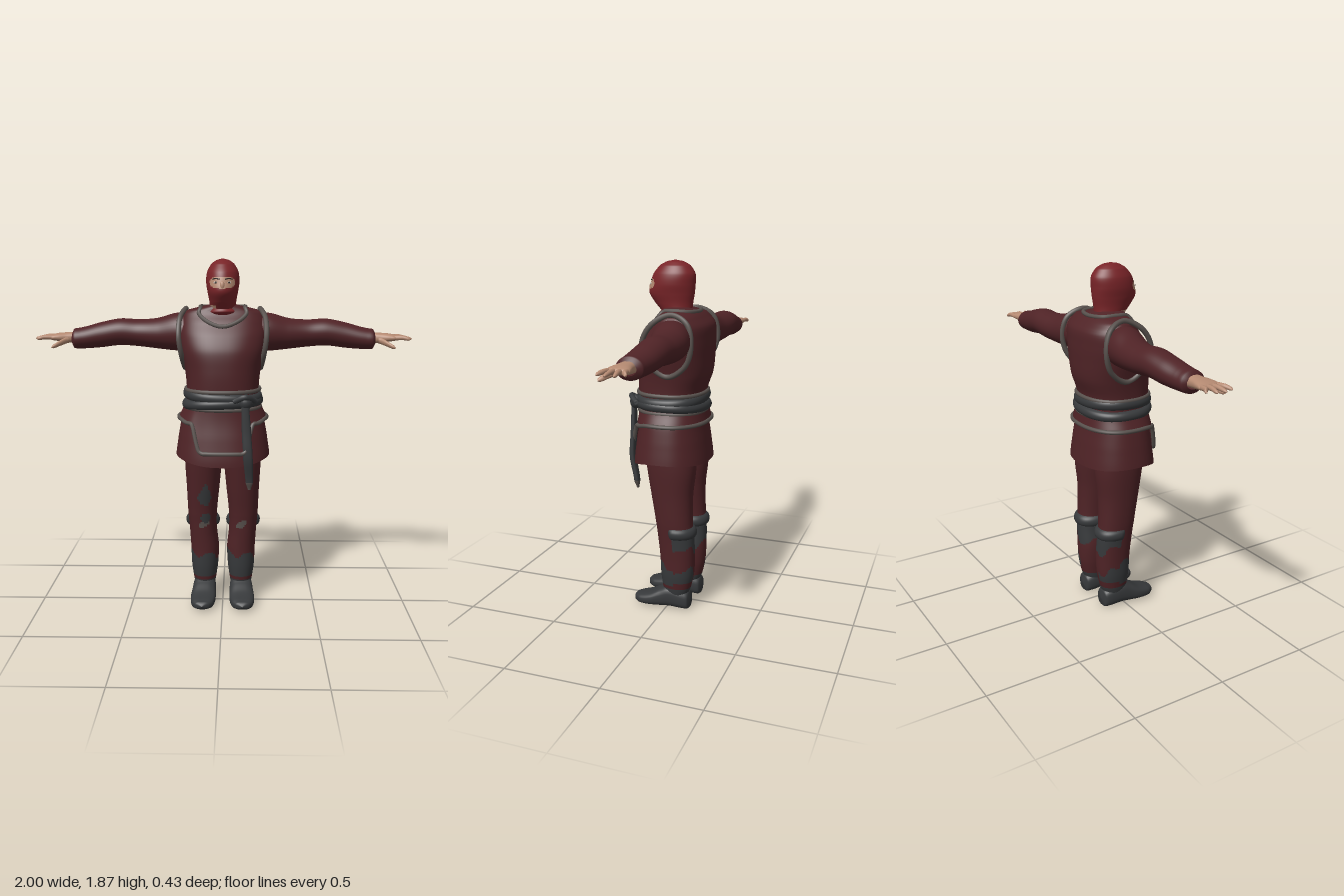
import * as THREE from 'three';

const mat = (name, color) => {
  const m = new THREE.MeshStandardMaterial({ color, side: THREE.DoubleSide });
  m.name = name;
  return m;
};
const V = (x, y, z) => new THREE.Vector3(x, y, z);
const { smoothstep } = THREE.MathUtils;

// Rings are [height, centreX, centreZ, radiusX, radiusZ], ascending in height.
// Returns the smooth cross-section at a height.
function ringAt(rings, y) {
  const last = rings.length - 1;
  let i = 0;
  while (i < last - 1 && y > rings[i + 1][0]) i++;
  const p1 = rings[i], p2 = rings[i + 1];
  const p0 = rings[Math.max(i - 1, 0)], p3 = rings[Math.min(i + 2, last)];
  const t = THREE.MathUtils.clamp((y - p1[0]) / (p2[0] - p1[0]), 0, 1);
  return p1.map((b, k) => {
    const a = p0[k], c = p2[k], d = p3[k];
    return b + 0.5 * t * (c - a + t * (2 * a - 5 * b + 4 * c - d + t * (3 * (b - c) + d - a)));
  });
}
// Point on the loft; angle 0 faces +z and grows towards +x.
function on(rings, y, angle, offset = 0, n = 2) {
  const [, cx, cz, rx, rz] = ringAt(rings, y);
  const pow = (v) => Math.sign(v) * Math.abs(v) ** (2 / n);
  return V(cx + (Math.max(rx, 0) + offset) * pow(Math.sin(angle)), y,
    cz + (Math.max(rz, 0) + offset) * pow(Math.cos(angle)));
}
// Closed tube-like grid from f(angle, v); pick(point) chooses a material index per cell.
function surface(f, nu, nv, pick) {
  const pts = [], cells = [[], [], []];
  for (let j = 0; j <= nv; j++)
    for (let i = 0; i < nu; i++) pts.push(f((i / nu) * Math.PI * 2, j / nv));
  for (let j = 0; j < nv; j++)
    for (let i = 0; i < nu; i++) {
      const a = j * nu + i, b = j * nu + ((i + 1) % nu), c = b + nu, d = a + nu;
      const mid = pts[a].clone().add(pts[c]).multiplyScalar(0.5);
      cells[pick ? pick(mid) : 0].push(a, b, c, a, c, d);
    }
  const g = new THREE.BufferGeometry().setFromPoints(pts);
  g.setIndex(cells.flat());
  let start = 0;
  if (pick) cells.forEach((c, k) => { if (c.length) g.addGroup(start, c.length, k); start += c.length; });
  g.computeVertexNormals();
  return g;
}
function loft(rings, nu = 32, nv = 32, n = 2, pick) {
  const y0 = rings[0][0], y1 = rings[rings.length - 1][0];
  return surface((a, v) => on(rings, y0 + (y1 - y0) * v, a, 0, n), nu, nv, pick);
}
function tube(points, r, closed = true, seg = 96) {
  return new THREE.TubeGeometry(new THREE.CatmullRomCurve3(points, closed), seg, r, 8, closed);
}
const loop = (count, f) => Array.from({ length: count }, (_, i) => f((i / count) * Math.PI * 2));

const TORSO = [
  [1.06, 0, 0, 0.195, 0.17], [1.2, 0, 0.005, 0.19, 0.172], [1.3, 0, -0.01, 0.2, 0.188],
  [1.4, 0, -0.018, 0.222, 0.187], [1.48, 0, -0.035, 0.232, 0.17], [1.55, 0, -0.055, 0.226, 0.142],
  [1.6, 0, -0.05, 0.2, 0.1], [1.62, 0, -0.035, 0.12, 0.085], [1.635, 0, -0.02, 0.06, 0.06]];
const SKIRT = [
  [0.82, 0, 0, 0.252, 0.2], [0.95, 0, 0, 0.235, 0.185], [1.04, 0, 0, 0.218, 0.172],
  [1.12, 0, 0, 0.194, 0.168]];
const HEAD = [
  [1.56, 0, -0.03, 0.075, 0.075], [1.61, 0, -0.015, 0.068, 0.082], [1.65, 0, 0.002, 0.07, 0.1],
  [1.7, 0, 0.014, 0.079, 0.12], [1.75, 0, 0.008, 0.086, 0.118], [1.8, 0, 0, 0.081, 0.109],
  [1.84, 0, -0.004, 0.06, 0.08], [1.86, 0, -0.005, 0.032, 0.044], [1.868, 0, -0.005, 0, 0]];
const legRings = (s) => [
  [0.05, 0.1, -0.05, 0.05, 0.055], [0.12, 0.1, -0.052, 0.062, 0.076], [0.2, 0.1, -0.055, 0.073, 0.09],
  [0.3, 0.1, -0.055, 0.077, 0.095], [0.4, 0.108, -0.05, 0.075, 0.098], [0.5, 0.112, -0.04, 0.079, 0.1],
  [0.65, 0.108, -0.027, 0.089, 0.112], [0.8, 0.105, -0.022, 0.1, 0.132], [0.98, 0.1, -0.01, 0.105, 0.14],
].map(([y, x, ...r]) => [y, s * x, ...r]);

export function createModel() {
  const root = new THREE.Group();
  root.name = 'maskedFighter';
  const cloth = mat('maroonCloth', 0x4f2326), hood = mat('redHood', 0x792428);
  const dark = mat('charcoalWrap', 0x37393b), trim = mat('greyTrim', 0x58514d);
  const skin = mat('skin', 0xb58a72), white = mat('eyeWhite', 0xc9c2b8), iris = mat('iris', 0x2c2420);
  const add = (name, geo, material) => {
    const m = new THREE.Mesh(geo, material);
    m.name = name;
    root.add(m);
    return m;
  };

  // Tunic with neck trim
  add('tunic', loft(TORSO, 64, 48, 2.4), cloth);
  const neck = [[0, 1.525], [0.28, 1.55], [0.55, 1.59], [0.95, 1.616], [1.6, 1.621], [2.4, 1.617]];
  const neckPath = [...neck, [Math.PI, 1.613], ...neck.slice(1).reverse().map(([a, y]) => [-a, y])];
  add('neckTrim', tube(neckPath.map(([a, y]) => on(TORSO, y, a, 0.002, 2.4)), 0.011), trim);

  // Lower skirt, dipping at the front and slightly at the back
  add('skirt', surface((a, v) => {
    const c = Math.cos(a), dip = (c > 0 ? 0.04 : 0.015) * c * c;
    const hem = 0.845 - dip;
    const p = on(SKIRT, Math.max(hem + (1.12 - hem) * v, 0.82), a, 0, 2.3);
    p.y = hem + (1.12 - hem) * v;
    return p;
  }, 64, 16), cloth);

  // Overskirt with a front flap and trimmed hem
  const hemAt = (a) => {
    const x = 0.235 * Math.sin(a);
    if (Math.cos(a) < 0) return 1.045;
    const flap = smoothstep(x, -0.155, -0.085) * (1 - smoothstep(x, 0.085, 0.155));
    return 1.03 - 0.15 * flap + 0.015 * smoothstep(Math.abs(x), 0.17, 0.235);
  };
  add('overskirt', surface((a, v) =>
    on(SKIRT, hemAt(a) + (1.12 - hemAt(a)) * v, a, 0.006 + 0.01 * (1 - v), 2.3), 128, 12), cloth);
  add('overskirtTrim', tube(loop(90, (a) => on(SKIRT, hemAt(a), a, 0.016, 2.3)), 0.011, true, 220), trim);

  // Belt: two crossing wraps with edging
  const wrap = (name, mid, h, out, material) => add(name, surface((a, v) =>
    on(TORSO, mid + 0.012 * Math.sin(a + 0.4) * Math.sign(out - 0.02) + h * (v - 0.5), a,
      out * Math.sqrt(Math.max(Math.sin(Math.PI * v), 0)), 2.3), 64, 10), material);
  wrap('beltUpperWrap', 1.165, 0.055, 0.019, dark);
  wrap('beltLowerWrap', 1.127, 0.055, 0.023, dark);
  for (const [name, y] of [['beltTopEdge', 1.195], ['beltBottomEdge', 1.103]])
    add(name, tube(loop(32, (a) => on(TORSO, y, a, 0.004, 2.3)), 0.011), trim);

  // Knot and hanging sash
  const ball = (name, p, r, sc, material) => {
    const m = add(name, new THREE.SphereGeometry(r, 20, 14).scale(...sc), material);
    m.position.copy(p);
    return m;
  };
  ball('beltKnot', V(0.12, 1.145, 0.17), 0.04, [0.9, 0.95, 0.8], dark);
  add('knotLoop', tube([V(0.06, 1.15, 0.18), V(0.12, 1.175, 0.195), V(0.17, 1.15, 0.15)], 0.015, false, 24), dark);
  const sash = (name, y0, y1, material) => add(name, loft([
    [0.68, 0.142, 0.156, 0.008, 0.006], [0.72, 0.142, 0.16, 0.02, 0.014], [0.85, 0.134, 0.185, 0.025, 0.015],
    [1, 0.125, 0.182, 0.024, 0.014], [1.14, 0.118, 0.182, 0.02, 0.012],
  ].filter((r) => r[0] >= y0 && r[0] <= y1), 20, 24, 2.8), material);
  sash('hangingSash', 0.72, 1.14, dark);
  sash('sashTip', 0.68, 0.72, trim);

  // Hood with eye opening
  add('hood', loft(HEAD, 96, 90, 2, (p) => {
    const eyeGap = p.z > 0 && ((p.x / 0.064) ** 2) ** 1.5 + (Math.abs(p.y - 1.748) / 0.029) ** 3 < 1;
    const throat = p.z > 0 && p.x < -0.035 && p.y > 1.605 && p.y < 1.632;
    return eyeGap || throat ? 1 : 0;
  }), [hood, skin]);
  add('hoodCollar', loft([[1.58, 0, -0.025, 0.085, 0.085], [1.6, 0, -0.018, 0.086, 0.096],
    [1.615, 0, -0.015, 0.07, 0.084]], 40, 8), hood);
  ball('noseBridge', V(0, 1.732, 0.124), 0.016, [0.8, 1.5, 0.8], skin);

  for (const s of [1, -1]) {
    const side = s > 0 ? 'left' : 'right';

    // Eyes and brows
    ball(side + 'Eye', on(HEAD, 1.748, s * 0.4, -0.004), 0.011, [1.2, 0.6, 0.7], white);
    ball(side + 'Iris', on(HEAD, 1.748, s * 0.39, 0.002), 0.005, [1, 1, 0.6], iris);
    add(side + 'Brow', tube([0.15, 0.4, 0.62].map((a, i) =>
      on(HEAD, 1.764 + (i === 1 ? 0.004 : 0), s * a, 0)), 0.003, false, 12), iris);

    // Armhole trim
    add(side + 'ArmholeTrim', tube([[0.195, 1.61, -0.05], [0.222, 1.565, 0.04], [0.226, 1.47, 0.092],
      [0.212, 1.37, 0.07], [0.2, 1.3, -0.03], [0.212, 1.36, -0.13], [0.222, 1.46, -0.165],
      [0.212, 1.57, -0.14]].map(([x, y, z]) => V(s * x, y, z)), 0.014), trim);

    // Limbs along x: rings are [x, y, z, radiusY, radiusZ]
    const along = (name, rings, material, nu, nv, n) => add(name,
      loft(rings.map(([x, y, ...r]) => [x, -s * y, ...r]), nu, nv, n).rotateZ(-s * Math.PI / 2), material);
    along(side + 'Sleeve', [[0.14, 1.485, -0.05, 0.095, 0.1], [0.24, 1.487, -0.065, 0.1, 0.102],
      [0.35, 1.477, -0.085, 0.081, 0.092], [0.45, 1.478, -0.1, 0.072, 0.083], [0.55, 1.483, -0.1, 0.071, 0.08],
      [0.65, 1.468, -0.095, 0.067, 0.075], [0.75, 1.452, -0.083, 0.057, 0.068], [0.795, 1.449, -0.08, 0.052, 0.064],
      [0.806, 1.449, -0.08, 0.03, 0.04]], cloth, 40, 60);
    along(side + 'Palm', [[0.77, 1.455, -0.078, 0.03, 0.036], [0.83, 1.455, -0.075, 0.027, 0.042],
      [0.88, 1.457, -0.074, 0.021, 0.053], [0.915, 1.456, -0.075, 0.014, 0.051],
      [0.925, 1.456, -0.075, 0, 0]], skin, 28, 24, 2.4);
    const ends = [[0.985, -0.014], [1, -0.056], [0.993, -0.096], [0.965, -0.132]];
    ends.forEach(([tip, z], i) => {
      const base = -0.036 - i * 0.026;
      along(side + 'Finger' + (i + 1), [[0.89, 1.457, base, 0.013, 0.013],
        [0.945, 1.459, (base + z) / 2, 0.0115, 0.0115], [tip - 0.01, 1.453, z, 0.008, 0.008],
        [tip, 1.451, z, 0, 0]], skin, 12, 14);
    });
    along(side + 'Thumb', [[0.82, 1.446, -0.05, 0.018, 0.018], [0.86, 1.43, -0.013, 0.015, 0.016],
      [0.893, 1.414, 0.012, 0.01, 0.011], [0.905, 1.41, 0.018, 0, 0]], skin, 14, 14);

    // Trousers with worn dark wrapping on shins, calves and one thigh
    const rings = legRings(s);
    add(side + 'TrouserLeg', loft(rings, 64, 100, 2.2, (p) => {
      const wave = 0.02 * Math.sin(p.x * 60) + 0.012 * Math.sin(p.y * 50 + p.z * 40);
      const front = p.z > -0.05;
      if (p.y < 0.12) return 1;
      if (front && p.y > 0.14 && p.y < 0.265 + wave) return 1;
      if (!front && p.y < 0.45 && p.y > 0.31 + wave + s * p.x * 0.3) return 1;
      if (!front && s * p.x > 0.1 && p.y > 0.16 && p.y < 0.23 + wave) return 1;
      if (front && s < 0 && Math.hypot(p.x + 0.105, (p.y - 0.62) * 0.6) < 0.034 + wave * 0.5) return 1;
      if (front && s < 0 && Math.hypot(p.x + 0.1, p.y - 0.49) < 0.022 + wave * 0.5) return 1;
      if (front && Math.hypot((p.x - s * 0.1) * 0.6, p.y - 0.455 - wave * 0.4) < 0.017) return 2;
      return 0;
    }), [cloth, dark, trim]);

    // Strap behind the knee, sinking into the cloth at the front
    add(side + 'KneeStrap', surface((a, v) => {
      const back = smoothstep(-Math.cos(a), -0.3, 0.05);
      return on(rings, 0.42 + 0.06 * v, a, -0.02 + back * (0.02 + 0.018 * Math.sqrt(Math.max(Math.sin(Math.PI * v), 0))), 2.2);
    }, 48, 10), dark);

    // Boot: rings run heel to toe as [z, x, -y, radiusX, radiusY]
    add(side + 'Boot', loft([[-0.132, 0.1, -0.05, 0, 0], [-0.125, 0.1, -0.05, 0.042, 0.045],
      [-0.09, 0.1, -0.058, 0.055, 0.056], [-0.02, 0.101, -0.07, 0.062, 0.064], [0.03, 0.103, -0.058, 0.065, 0.054],
      [0.09, 0.106, -0.042, 0.068, 0.038], [0.15, 0.108, -0.034, 0.058, 0.028], [0.182, 0.109, -0.034, 0.033, 0.018],
      [0.192, 0.109, -0.034, 0, 0]].map(([z, x, ...r]) => [z, s * x, ...r]), 32, 48, 2.7)
      .rotateX(Math.PI / 2), dark);
  }
  return root;
}
